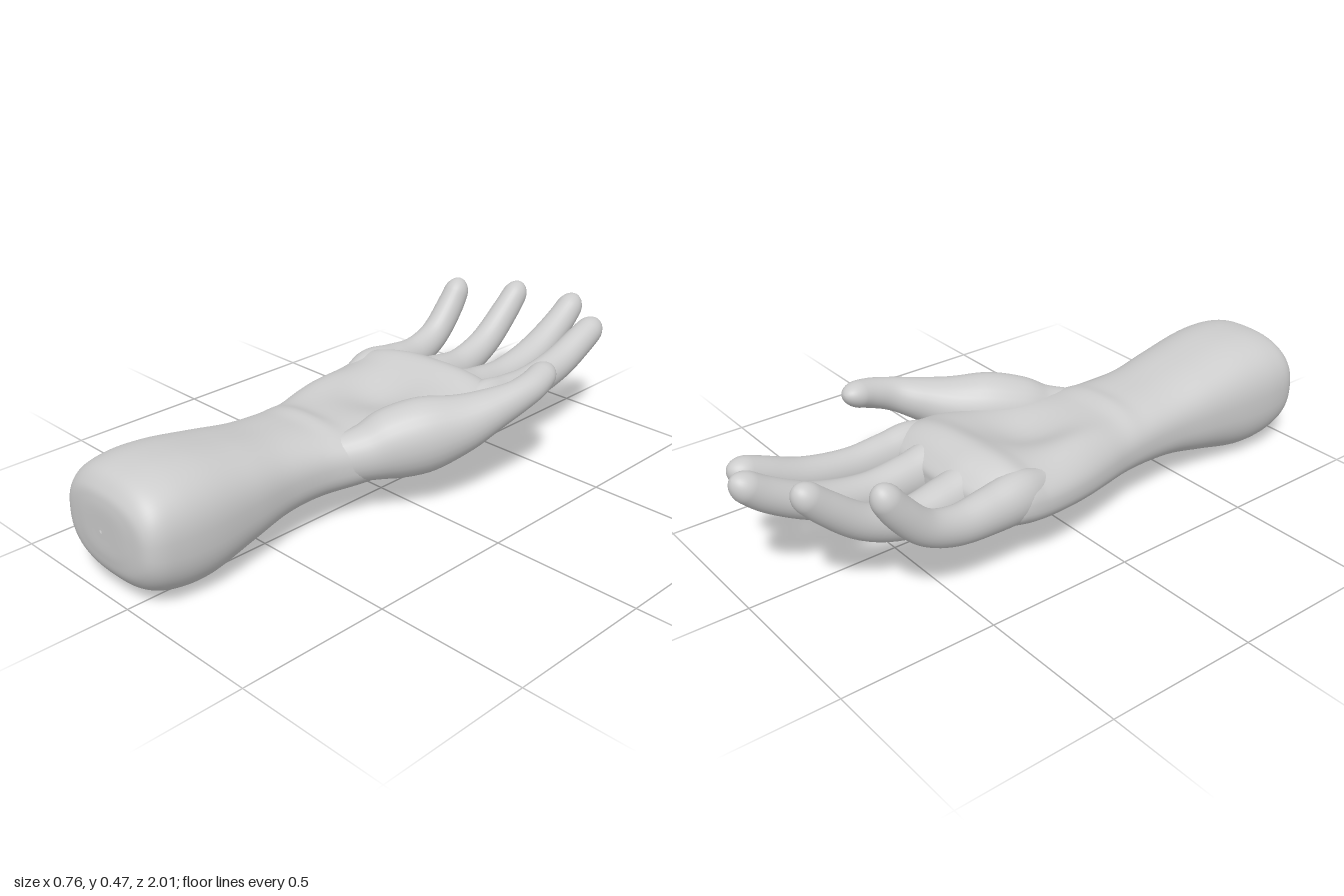
import * as THREE from 'three';

const material = new THREE.MeshStandardMaterial({ color: 0xcccccc });

// Closed skin over a list of rings, each with the same number of points
function skin(name, rings) {
  const n = rings[0].length, index = [];
  for (let i = 0; i < rings.length - 1; i++) {
    for (let j = 0; j < n; j++) {
      const a = i * n + j, b = i * n + (j + 1) % n;
      index.push(a, a + n, b, b, a + n, b + n);
    }
  }
  const geometry = new THREE.BufferGeometry().setFromPoints(rings.flat());
  geometry.setIndex(index);
  geometry.computeVertexNormals();
  const mesh = new THREE.Mesh(geometry, material);
  mesh.name = name;
  return mesh;
}

// Round-tipped digit along a curve; each station is [x, y, z, halfWidth, halfDepth]
function digit(name, stations) {
  const up = new THREE.Vector3(0, 1, 0), sides = 28;
  const path = new THREE.CatmullRomCurve3(stations.map(s => new THREE.Vector3(s[0], s[1], s[2])));
  const size = new THREE.CatmullRomCurve3(stations.map(s => new THREE.Vector3(s[3], s[4], 0)), false, 'catmullrom', 0.5);
  const last = stations.length - 1;
  const tip = path.points[last];
  const tipStart = 1 - Math.min(1, stations[last][3] * 1.35 / tip.distanceTo(path.points[last - 1])) / last;
  const steps = [];
  for (let i = 0; i < 36; i++) steps.push([tipStart * i / 36, 1]);
  for (let i = 0; i <= 10; i++) {
    const a = i / 10 * Math.PI / 2;
    steps.push([tipStart + (1 - tipStart) * Math.sin(a), Math.max(Math.cos(a), 0.002)]);
  }
  return skin(name, steps.map(([t, k]) => {
    const c = path.getPoint(t), r = size.getPoint(t), dir = path.getTangent(t);
    const side = new THREE.Vector3().crossVectors(dir, up).normalize();
    const top = new THREE.Vector3().crossVectors(side, dir);
    return Array.from({ length: sides }, (_, j) => {
      const a = j / sides * Math.PI * 2;
      return c.clone().addScaledVector(side, Math.cos(a) * r.x * k).addScaledVector(top, Math.sin(a) * r.y * k);
    });
  }));
}

const bell = (d, width) => Math.exp(-d * d / (width * width));

// Pads, hollow and creases on the palm side
function palmRelief(x, z) {
  const padLine = -0.285 - 0.16 * Math.max(0, x + 0.1);
  return 0.022 * bell(z - padLine, 0.075)
    - 0.04 * bell(x + 0.07, 0.13) * bell(z + 0.06, 0.13)
    + 0.03 * bell(x + 0.27, 0.09) * bell(z - 0.02, 0.16)
    + 0.012 * bell(z - 0.25, 0.035) * bell(x + 0.1, 0.15);
}

// Forearm, wrist and palm in one loft; each section is [z, xMin, xMax, yMin, yMax]
function forearmAndPalm() {
  const sections = [
    [1, -0.1, -0.09, 0.205, 0.215],
    [0.998, -0.2, 0.03, 0.13, 0.3],
    [0.985, -0.27, 0.095, 0.08, 0.34],
    [0.95, -0.298, 0.122, 0.04, 0.375],
    [0.88, -0.31, 0.134, 0.01, 0.394],
    [0.77, -0.31, 0.135, 0.002, 0.394],
    [0.6, -0.297, 0.116, 0.04, 0.365],
    [0.45, -0.285, 0.098, 0.075, 0.335],
    [0.33, -0.287, 0.105, 0.088, 0.322],
    [0.2, -0.303, 0.145, 0.096, 0.31],
    [0.1, -0.328, 0.17, 0.1, 0.31],
    [0, -0.352, 0.195, 0.102, 0.312],
    [-0.1, -0.37, 0.22, 0.106, 0.318],
    [-0.2, -0.381, 0.238, 0.113, 0.325],
    [-0.3, -0.381, 0.215, 0.125, 0.328],
    [-0.36, -0.372, 0.2, 0.14, 0.315],
    [-0.4, -0.345, 0.175, 0.17, 0.285],
    [-0.415, -0.1, -0.09, 0.225, 0.235],
  ];
  const low = new THREE.CatmullRomCurve3(sections.map(s => new THREE.Vector3(s[1], s[3], s[0])));
  const high = new THREE.CatmullRomCurve3(sections.map(s => new THREE.Vector3(s[2], s[4], s[0])));
  const rings = [], sides = 72, count = 136;
  const squared = v => Math.sign(v) * Math.pow(Math.abs(v), 0.8);
  for (let i = 0; i <= count; i++) {
    const a = low.getPoint(i / count), b = high.getPoint(i / count);
    rings.push(Array.from({ length: sides }, (_, j) => {
      const angle = j / sides * Math.PI * 2;
      const c = squared(Math.cos(angle)), s = squared(Math.sin(angle));
      const x = (a.x + b.x) / 2 + c * (b.x - a.x) / 2;
      let z = (a.z + b.z) / 2;
      let y = (a.y + b.y) / 2 + s * (b.y - a.y) / 2;
      if (s > 0) y += s * palmRelief(x, z);
      // Knuckle line slants back towards the little finger
      if (z < -0.2) z += 0.25 * Math.max(0, -0.15 - x) * Math.min(1, (-0.2 - z) / 0.15);
      return new THREE.Vector3(x, y, z);
    }));
  }
  return skin('forearmAndPalm', rings);
}

export function createModel() {
  const hand = new THREE.Group();
  hand.name = 'hand';
  hand.add(forearmAndPalm());

  hand.add(digit('indexFinger', [
    [0.135, 0.235, -0.22, 0.05, 0.06],
    [0.143, 0.238, -0.33, 0.062, 0.085],
    [0.146, 0.235, -0.43, 0.059, 0.077],
    [0.145, 0.24, -0.56, 0.054, 0.065],
    [0.147, 0.272, -0.72, 0.056, 0.057],
    [0.149, 0.327, -0.85, 0.051, 0.052],
    [0.15, 0.372, -0.945, 0.044, 0.044],
  ]));
  hand.add(digit('middleFinger', [
    [0.02, 0.23, -0.22, 0.05, 0.06],
    [0.016, 0.23, -0.33, 0.068, 0.087],
    [0.013, 0.222, -0.43, 0.065, 0.077],
    [0.012, 0.22, -0.58, 0.059, 0.066],
    [0.012, 0.262, -0.75, 0.059, 0.057],
    [0.012, 0.34, -0.9, 0.051, 0.052],
    [0.012, 0.42, -1, 0.043, 0.043],
  ]));
  hand.add(digit('ringFinger', [
    [-0.14, 0.23, -0.2, 0.05, 0.06],
    [-0.155, 0.23, -0.31, 0.072, 0.085],
    [-0.163, 0.22, -0.42, 0.068, 0.075],
    [-0.169, 0.215, -0.56, 0.056, 0.063],
    [-0.173, 0.262, -0.7, 0.052, 0.055],
    [-0.175, 0.355, -0.82, 0.047, 0.05],
    [-0.175, 0.445, -0.91, 0.041, 0.042],
  ]));
  hand.add(digit('littleFinger', [
    [-0.3, 0.24, -0.17, 0.05, 0.06],
    [-0.31, 0.245, -0.26, 0.068, 0.08],
    [-0.314, 0.238, -0.37, 0.064, 0.073],
    [-0.32, 0.24, -0.49, 0.055, 0.062],
    [-0.326, 0.28, -0.6, 0.05, 0.054],
    [-0.329, 0.37, -0.69, 0.047, 0.05],
    [-0.329, 0.462, -0.75, 0.041, 0.042],
  ]));
  // Thumb, including the mound at its base
  hand.add(digit('thumb', [
    [0.03, 0.21, 0.3, 0.05, 0.07],
    [0.09, 0.222, 0.17, 0.08, 0.09],
    [0.125, 0.238, 0.09, 0.1, 0.115],
    [0.18, 0.255, -0.01, 0.105, 0.122],
    [0.238, 0.277, -0.11, 0.09, 0.096],
    [0.285, 0.31, -0.2, 0.07, 0.07],
    [0.319, 0.338, -0.28, 0.052, 0.055],
    [0.328, 0.362, -0.36, 0.05, 0.048],
    [0.308, 0.39, -0.46, 0.044, 0.038],
  ]));
  return hand;
}
